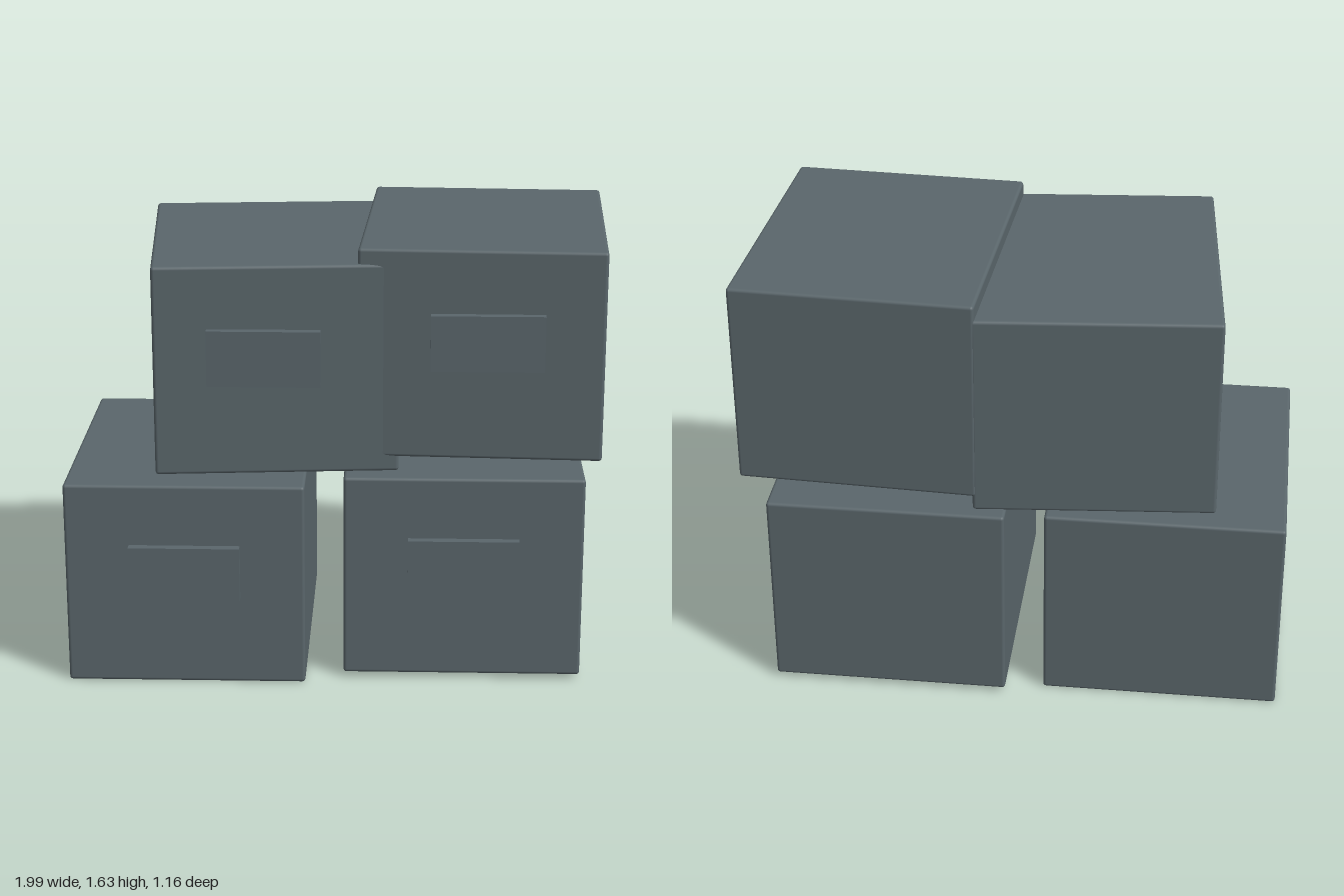
import * as THREE from 'three';
import { RoundedBoxGeometry } from 'three/addons/geometries/RoundedBoxGeometry.js';

export function createModel() {
  const model = new THREE.Group();
  model.name = 'crateStack';

  const slate = new THREE.MeshStandardMaterial({ color: 0x5a666b });
  slate.name = 'slate grey';

  // Shared shapes: softly bevelled crate and plain front label plate
  const crateGeometry = new RoundedBoxGeometry(0.876, 0.766, 1.064, 2, 0.012);
  const labelGeometry = new THREE.BoxGeometry(0.404, 0.203, 0.033);

  // Crate centre, turn about y, and label centre
  const crates = [
    { name: 'lowerRight', at: [-0.56, 0.391, 0.007], turn: 0, label: [-0.56, 0.447, 0.564] },
    { name: 'lowerLeft', at: [0.455, 0.41, -0.047], turn: 0, label: [0.455, 0.465, 0.511] },
    { name: 'upperRight', at: [-0.263, 1.204, -0.013], turn: 0.082, label: [-0.264, 1.258, 0.546] },
    { name: 'upperLeft', at: [0.53, 1.26, -0.029], turn: -0.047, label: [0.528, 1.314, 0.524] },
  ];

  for (const { name, at, turn, label } of crates) {
    const crate = new THREE.Mesh(crateGeometry, slate);
    crate.name = name + 'Crate';
    crate.position.set(...at);
    crate.rotation.y = turn;

    // Labels stay square to the front even where the crate is turned
    const plate = new THREE.Mesh(labelGeometry, slate);
    plate.name = name + 'Label';
    plate.position.set(...label);

    model.add(crate, plate);
  }

  return model;
}
